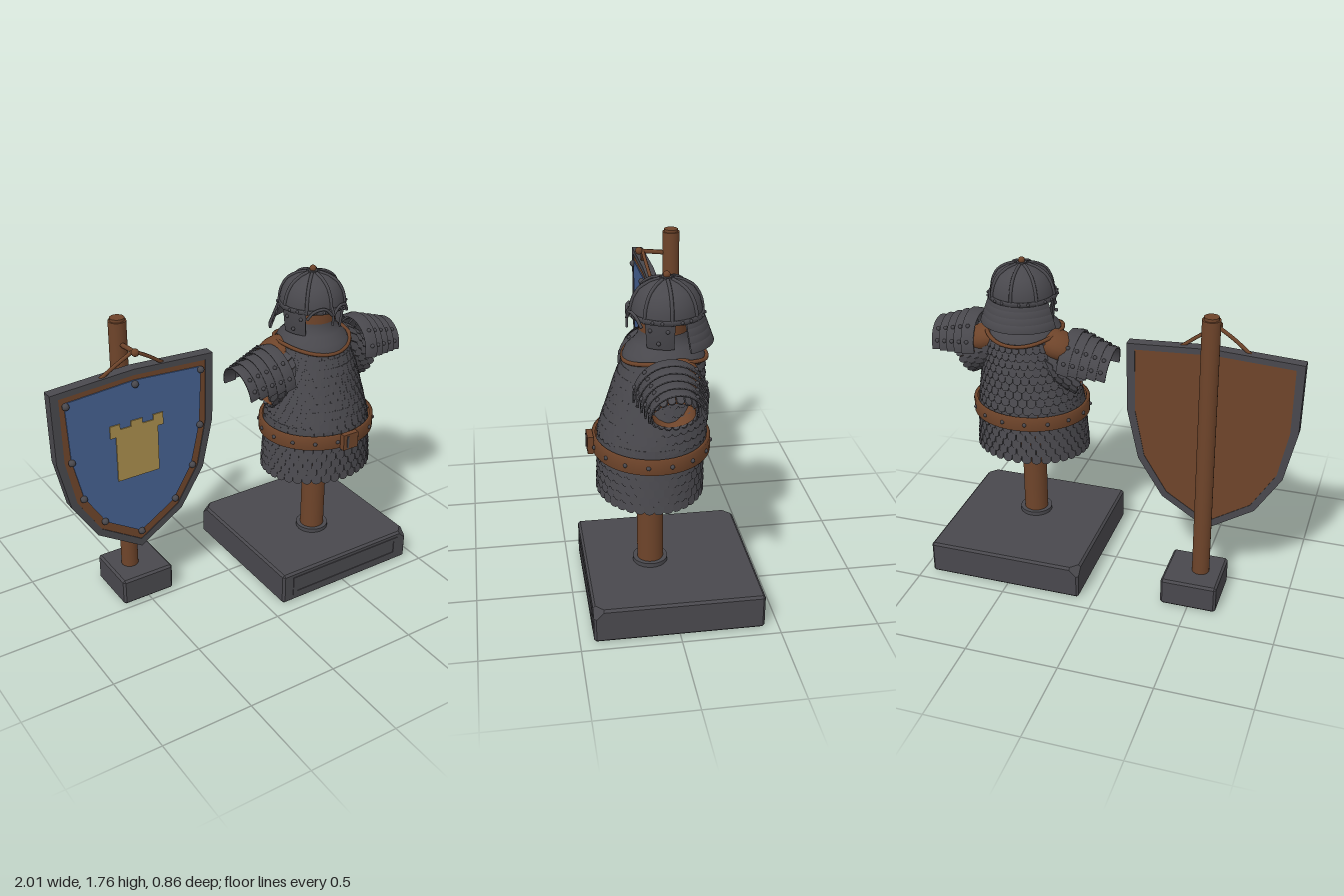
import * as THREE from 'three';
import { mergeGeometries } from 'three/addons/utils/BufferGeometryUtils.js';
import { ConvexGeometry } from 'three/addons/geometries/ConvexGeometry.js';

const mat = (name, color, side = THREE.FrontSide) =>
  Object.assign(new THREE.MeshStandardMaterial({ color, side }), { name });
const V = (x, y, z) => new THREE.Vector3(x, y, z);
const P = (x, y) => new THREE.Vector2(x, y);

export function createModel() {
  const iron = mat('dark iron', 0x49484d, THREE.DoubleSide);
  const leather = mat('brown leather', 0x6e442a, THREE.DoubleSide);
  const blue = mat('blue paint', 0x456090);
  const gold = mat('gold paint', 0xa98d4c);
  const root = new THREE.Group();
  const add = (name, geo, material, x = 0, y = 0, z = 0, parent = root) => {
    const m = new THREE.Mesh(geo, material);
    m.name = name;
    m.position.set(x, y, z);
    parent.add(m);
    return m;
  };
  const group = (name, x = 0, y = 0, z = 0) => {
    const g = new THREE.Group();
    g.name = name;
    g.position.set(x, y, z);
    root.add(g);
    return g;
  };
  const cyl = (r, h, n = 20) => new THREE.CylinderGeometry(r, r, h, n);
  const ball = r => new THREE.SphereGeometry(r, 10, 8);
  const tube = (pts, r, closed = false, n = 20) =>
    new THREE.TubeGeometry(new THREE.CatmullRomCurve3(pts, closed), n, r, 6, closed);
  const extrude = (shape, depth) =>
    new THREE.ExtrudeGeometry(shape, { depth, bevelEnabled: false });

  // Stone block with bevelled edges and optional broken corners
  const block = (w, h, d, chips = []) => {
    const pts = [], c = 0.012, k = 0.05;
    for (const sx of [-1, 1]) for (const sy of [-1, 1]) for (const sz of [-1, 1]) {
      const p = (a, b, e) => pts.push(V(sx * (w / 2 - a), sy * (h / 2 - b), sz * (d / 2 - e)));
      if (sy > 0 && chips.some(q => q[0] === sx && q[1] === sz)) {
        p(k, 0, c); p(k, c, 0); p(0, k, c); p(c, k, 0); p(c, 0, k); p(0, c, k);
      } else { p(0, c, c); p(c, 0, c); p(c, c, 0); }
    }
    return new ConvexGeometry(pts);
  };
  add('shieldBase', block(0.305, 0.155, 0.31), iron, -0.502, 0.0775, -0.185);
  add('armourBase', block(0.86, 0.185, 0.86, [[1, 1], [-1, -1]]), iron, 0.515, 0.0925, 0);
  const rect = (x0, y0, x1, y1, T = THREE.Shape) =>
    new T([P(x0, y0), P(x1, y0), P(x1, y1), P(x0, y1)]);
  const frame = rect(0.15, 0.04, 0.88, 0.155);
  frame.holes.push(rect(0.175, 0.06, 0.855, 0.135, THREE.Path));
  add('baseFrame', extrude(frame, 0.005), iron, 0, 0, 0.429);

  // Shield post, peg and hanging straps
  const SX = -0.535;
  add('shieldPost', cyl(0.047, 1.47), leather, SX, 0.89, -0.185);
  add('postCap', cyl(0.038, 0.03), leather, SX, 1.625, -0.185);
  add('peg', tube([V(SX, 1.5, -0.19), V(SX, 1.51, -0.1), V(SX, 1.52, 0)], 0.013), leather);
  add('pegKnob', ball(0.021), leather, SX, 1.52, -0.004);
  for (const s of [-1, 1])
    add('hangingStrap', tube([V(SX, 1.52, -0.025), V(SX + s * 0.09, 1.465, -0.035), V(SX + s * 0.18, 1.4, -0.05)], 0.01), leather);

  // Shield layers from mirrored half outlines
  const mirrored = (half, T = THREE.Shape) => new T([
    ...half.map(([x, y]) => P(SX + x, y)),
    ...half.slice(1, -1).reverse().map(([x, y]) => P(SX - x, y))]);
  const outer = [[0, 1.42], [0.457, 1.395], [0.45, 1.01], [0.388, 0.735], [0.252, 0.52], [0, 0.36]];
  const middle = [[0, 1.388], [0.413, 1.365], [0.407, 1.01], [0.355, 0.755], [0.228, 0.55], [0, 0.405]];
  const inner = [[0, 1.36], [0.385, 1.335], [0.37, 1.01], [0.315, 0.77], [0.2, 0.585], [0, 0.46]];
  const rim = mirrored(outer);
  rim.holes.push(mirrored(middle, THREE.Path));
  add('shieldRim', extrude(rim, 0.06), iron, 0, 0, -0.086);
  add('shieldBoard', extrude(mirrored(middle), 0.052), leather, 0, 0, -0.083);
  add('shieldField', extrude(mirrored(inner), 0.006), blue, 0, 0, -0.031);
  const tower = new THREE.Shape([[0.12, 0.81], [0.12, 1.07], [0.152, 1.07], [0.152, 1.14], [0.095, 1.14],
    [0.095, 1.11], [0.033, 1.11], [0.033, 1.14], [-0.033, 1.14], [-0.033, 1.11], [-0.095, 1.11],
    [-0.095, 1.14], [-0.152, 1.14], [-0.152, 1.07], [-0.12, 1.07], [-0.12, 0.81]].map(([x, y]) => P(SX + x, y)));
  add('towerEmblem', extrude(tower, 0.006), gold, 0, 0, -0.025);
  for (const [x, y] of [[0, 1.34], [0.38, 1.32], [0.37, 1.0], [0.32, 0.77], [0.21, 0.595], [0, 0.46]])
    for (const s of x ? [-1, 1] : [1]) add('shieldRivet', ball(0.019), iron, SX + s * x, y, -0.02);

  // Armour stand pole
  const CX = 0.515;
  add('standPole', cyl(0.067, 1.2, 24), leather, CX, 0.785, 0.09);
  add('poleCollar', cyl(0.09, 0.025, 24), iron, CX, 0.195, 0.09);

  // Torso cross-sections: y, half width, half depth, centre z
  const table = [[0.62, 0.305, 0.255, 0.093], [0.85, 0.288, 0.25, 0.09], [0.95, 0.275, 0.258, 0.08],
    [1.05, 0.258, 0.238, 0.065], [1.2, 0.227, 0.212, 0.045], [1.33, 0.195, 0.183, 0.018], [1.42, 0.135, 0.135, 0.012]];
  const torso = y => {
    let i = 0;
    while (i < table.length - 2 && table[i + 1][0] < y) i++;
    const a = table[i], b = table[i + 1];
    const t = THREE.MathUtils.clamp((y - a[0]) / (b[0] - a[0]), 0, 1);
    return a.slice(1).map((v, j) => v + (b[j + 1] - v) * t);
  };
  // Elliptical shell following a section rule
  const shell = (ys, section) => {
    const g = new THREE.LatheGeometry(ys.map(y => P(1, y)), 40), p = g.attributes.position;
    for (let i = 0; i < p.count; i++) {
      const [rx, rz, cz] = section(p.getY(i));
      p.setXYZ(i, p.getX(i) * rx, p.getY(i), p.getZ(i) * rz + cz);
    }
    g.computeVertexNormals();
    return g;
  };
  add('lining', shell([0.65, ...table.slice(1).map(r => r[0])], torso), leather, CX);

  // Overlapping scale rows hung on a section rule
  const plate = extrude(new THREE.Shape([P(-0.5, 1.55), P(-0.5, 0.32), P(-0.27, 0.06), P(0, 0), P(0.27, 0.06),
    P(0.5, 0.32), P(0.5, 1.55)]), 0.009);
  const scales = (y0, rows, pitch, n, section) => {
    const list = [], o = new THREE.Object3D();
    for (let r = 0; r < rows; r++) {
      const y = y0 + r * pitch, [rx, rz, cz] = section(y), up = section(y + pitch);
      const slope = (rx + rz - up[0] - up[1]) / 2 / pitch;
      for (let i = 0; i < n; i++) {
        const a = (i + (r % 2) / 2) / n * Math.PI * 2, s = Math.sin(a), c = Math.cos(a);
        o.position.set((rx + 0.007) * s, y, cz + (rz + 0.007) * c);
        o.lookAt(o.position.x + s, y + slope + 0.12, o.position.z + c);
        o.scale.set((rx + rz) * Math.PI / n * 1.03, pitch, 1);
        o.updateMatrix();
        list.push(plate.clone().applyMatrix4(o.matrix));
      }
    }
    return mergeGeometries(list);
  };
  add('scaleCoat', scales(0.635, 17, 0.0435, 36, torso), iron, CX);

  // Belt with studs and buckle
  const beltBand = new THREE.LatheGeometry([P(0.96, 0.855), P(1, 0.855), P(1, 0.93), P(0.94, 0.93)], 48);
  add('belt', beltBand.scale(0.323, 1, 0.293), leather, CX, 0, 0.086);
  for (let i = 0; i < 16; i++) {
    const a = (i + 0.5) / 16 * Math.PI * 2;
    add('beltStud', ball(0.011), iron, CX + 0.323 * Math.sin(a), 0.893, 0.086 + 0.293 * Math.cos(a));
  }
  add('buckle', new THREE.BoxGeometry(0.095, 0.09, 0.03), leather, CX, 0.895, 0.39);
  add('bucklePin', new THREE.BoxGeometry(0.012, 0.07, 0.008), iron, CX - 0.02, 0.895, 0.405);

  // Collar plate, its trim and the shoulder pads
  const gorget = [P(0.2, 1.345), P(0.185, 1.38), P(0.145, 1.42), P(0.125, 1.45), P(0.12, 1.48)];
  add('gorget', new THREE.LatheGeometry(gorget, 36), iron, CX, 0, 0.025);
  const trim = [];
  for (let i = 0; i < 24; i++) {
    const a = i / 24 * Math.PI * 2;
    trim.push(V(0.203 * Math.sin(a), 1.335 + 0.04 * Math.sin(a) ** 2, 0.203 * Math.cos(a)));
  }
  add('gorgetTrim', tube(trim, 0.011, true, 48), leather, CX, 0, 0.02);
  for (const s of [-1, 1])
    add('shoulderPad', new THREE.SphereGeometry(1, 20, 12).scale(0.12, 0.075, 0.1), leather,
      CX + s * 0.2, 1.305, -0.02).rotation.z = -s * 0.35;

  // Sleeves and pauldrons: s is the side, lower drops the arm
  const lame = (r0, r1, h, from, to, t = 0.011) => new THREE.LatheGeometry(
    [P(r0, 0), P(r0 + t, 0), P(r1 + t, h), P(r1, h), P(r0, 0)], 20, from, to - from);
  const sleeveRing = y => [0.12 + y * 0.12, 0.125 + y * 0.12, 0];
  for (const [side, s, y, tilt, start] of [['left', 1, 1.25, 0.1, 0.235], ['right', -1, 1.2, 0.14, 0.225]]) {
    const sleeve = group(side + 'Sleeve', CX + s * 0.16, y + 0.02, 0.025);
    sleeve.rotation.z = s * 1.05;
    add('sleeveScales', scales(-0.21, 5, 0.042, 18, sleeveRing), iron, 0, 0, 0, sleeve);
    add('sleeveLining', shell([-0.2, 0], sleeveRing), leather, 0, 0, 0, sleeve);
    const arm = group(side + 'Pauldron', CX + s * start, y, 0.035);
    arm.rotation.z = s * (Math.PI / 2 + tilt) * -1;
    const mid = -s * Math.PI / 2;
    for (let i = 0; i < 5; i++) {
      const r = 0.168 - i * 0.011;
      add('shoulderLame', lame(r - 0.008, r, 0.066, mid - 1.62, mid + 1.62), iron, 0, i * 0.048, 0, arm);
      for (const a of [-1.25, -0.75, 0.75, 1.25])
        add('lameRivet', ball(0.011), iron, (r + 0.008) * Math.sin(mid + a), i * 0.048 + 0.035,
          (r + 0.008) * Math.cos(mid + a), arm);
    }
  }

  // Head form and helmet dome
  add('headForm', cyl(0.115, 0.2, 28), leather, CX, 1.47, 0.03);
  const helmet = group('helmet', CX, 0, 0.01);
  const dome = [[0.172, 1.55], [0.17, 1.59], [0.158, 1.635], [0.13, 1.68], [0.08, 1.712], [0.03, 1.726], [0, 1.728]];
  add('dome', new THREE.LatheGeometry(dome.map(([r, y]) => P(r, y)), 40), iron, 0, 0, 0, helmet);
  add('browBand', lame(0.168, 0.168, 0.022, 0, Math.PI * 2, 0.014), iron, 0, 1.552, 0, helmet);
  add('finial', ball(0.018), leather, 0, 1.742, 0, helmet);
  add('finialSeat', cyl(0.026, 0.012), iron, 0, 1.727, 0, helmet);
  for (let i = 0; i < 8; i++) {
    const a = i * Math.PI / 4;
    add('rib', tube(dome.slice(0, 6).map(([r, y]) => V(r + 0.002, y, 0)), 0.009), iron, 0, 0, 0, helmet).rotation.y = a;
    for (const b of [0.26, 0.52])
      add('bandRivet', ball(0.008), iron, 0.182 * Math.sin(a + b), 1.564, 0.182 * Math.cos(a + b), helmet);
  }
  // Brow arcs and short nasal
  for (const s of [-1, 1]) {
    const arc = [[0.02, 1.545], [0.25, 1.585], [0.55, 1.575], [0.75, 1.53]].map(([a, y]) =>
      V(s * 0.188 * Math.sin(a), y, 0.188 * Math.cos(a)));
    add('browArc', tube(arc, 0.008), iron, 0, 0, 0, helmet);
  }
  add('nasal', tube([V(0, 1.585, 0.178), V(0, 1.565, 0.188), V(0, 1.49, 0.19)], 0.007), iron, 0, 0, 0, helmet);
  // Cheek plates with rivets, and the neck guard
  for (const s of [-1, 1]) {
    const a = s > 0 ? 0.8 : -1.65;
    add('cheekPlate', lame(0.148, 0.164, 0.13, a, a + 0.85), iron, 0, 1.425, 0, helmet);
    for (const [b, y] of [[0.95, 1.52], [1.45, 1.52], [1.2, 1.46]])
      add('cheekRivet', ball(0.01), iron, s * 0.172 * Math.sin(b), y, 0.172 * Math.cos(b), helmet);
  }
  for (let i = 0; i < 4; i++)
    add('neckLame', lame(0.18 + i * 0.012, 0.165 + i * 0.012, 0.042, 1.95, Math.PI * 2 - 1.95), iron,
      0, 1.52 - i * 0.033, 0, helmet);
  return root;
}
